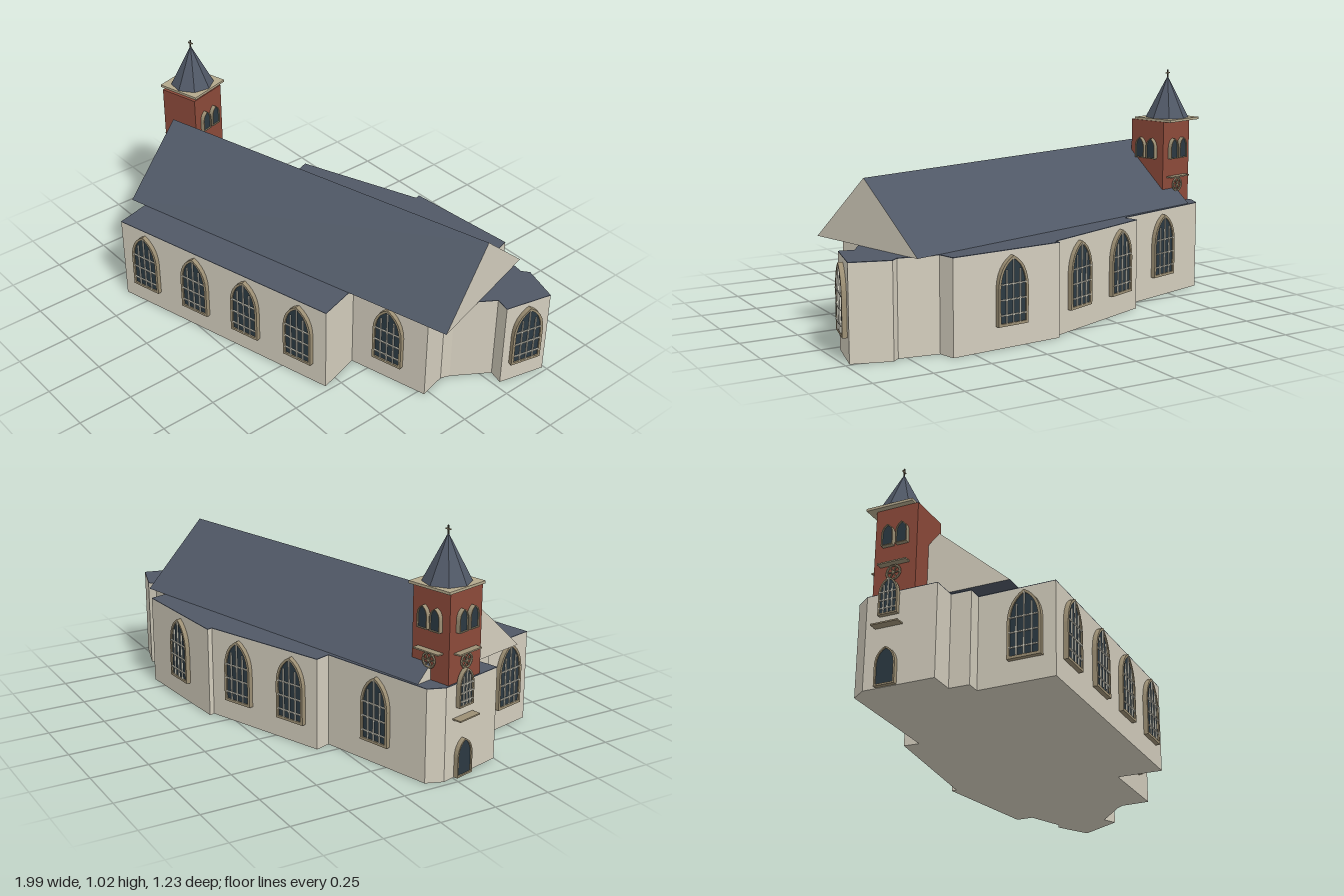
import * as THREE from 'three';

const mat = (color, side = THREE.FrontSide) =>
  new THREE.MeshStandardMaterial({ color, flatShading: true, side });
const STONE = mat(0xd3cdbd), SLATE = mat(0x505866), BRICK = mat(0x8c4a3a);
const TRIM = mat(0x9c8f74), GLASS = mat(0x2b3942), BAR = mat(0xd8d6c8), IRON = mat(0x4a4538);
const SLAB = mat(0xb3a88c);

const TURN = 0.262; // the building stands turned about its upright axis

// wall outline as [x, z], going west, south, east, north
const PLAN = [
  [-0.948, -0.123], [-0.975, -0.05], [-0.893, 0.25], [-0.785, 0.22], [-0.76, 0.305],
  [-0.70, 0.288], [-0.617, 0.609], [0.475, 0.317], [0.42, 0.12], [0.78, 0.025],
  [0.75, -0.10], [0.765, -0.14], [0.865, -0.295], [0.93, -0.28], [0.98, -0.49],
  [0.815, -0.54], [0.785, -0.515], [0.615, -0.54], [0.595, -0.615], [0.083, -0.571],
  [0.09, -0.548], [-0.462, -0.336], [-0.44, -0.27],
];

function add(parent, name, geometry, material, x = 0, y = 0, z = 0) {
  const mesh = new THREE.Mesh(geometry, material);
  mesh.name = name;
  mesh.position.set(x, y, z);
  parent.add(mesh);
  return mesh;
}

const box = (w, h, d) => new THREE.BoxGeometry(w, h, d);

function slabFromPlan(height) {
  const shape = new THREE.Shape(PLAN.map(([x, z]) => new THREE.Vector2(x, -z)));
  return new THREE.ExtrudeGeometry(shape, { depth: height, bevelEnabled: false }).rotateX(-Math.PI / 2);
}

// pointed arch standing on y = base
function arch(w, h, base = 0) {
  const s = new THREE.Shape(), spring = base + (h - base) * 0.55;
  s.moveTo(-w / 2, base);
  s.lineTo(w / 2, base);
  s.lineTo(w / 2, spring);
  s.quadraticCurveTo(w * 0.47, spring + (h - spring) * 0.72, 0, h);
  s.quadraticCurveTo(-w * 0.47, spring + (h - spring) * 0.72, -w / 2, spring);
  s.closePath();
  return s;
}

const extrude = (shape, depth) =>
  new THREE.ExtrudeGeometry(shape, { depth, bevelEnabled: false, curveSegments: 6 });

// arched window facing +z, sill at y = 0
function makeWindow(name, w, h, bars = true) {
  const g = new THREE.Group(), rim = w * 0.08;
  g.name = name;
  const frame = arch(w, h);
  frame.holes.push(arch(w - 2 * rim, h - rim, rim));
  add(g, 'windowFrame', extrude(frame, 0.02), TRIM);
  add(g, 'windowGlass', extrude(arch(w - 2 * rim, h - rim, rim), 0.014), GLASS);
  if (!bars) return g;
  for (const k of [-1, 0, 1]) {
    const len = h * (k === 0 ? 0.92 : 0.76);
    add(g, 'mullion', box(0.005, len, 0.006), BAR, k * w * 0.22, rim + len / 2, 0.019);
    add(g, 'crossBar', box(w * 0.86, 0.005, 0.006), BAR, 0, h * (0.38 + k * 0.22), 0.02);
  }
  return g;
}

// puts an object on wall number i, at fraction t of its length
function onWall(parent, object, i, t, y) {
  const [ax, az] = PLAN[i], [bx, bz] = PLAN[(i + 1) % PLAN.length];
  object.position.set(ax + (bx - ax) * t, y, az + (bz - az) * t);
  object.rotation.y = Math.atan2(az - bz, bx - ax);
  parent.add(object);
}

// gable roof: two slopes, two stone gables and the underside
function makeRoof() {
  const g = new THREE.Group();
  g.name = 'mainRoof';
  const y0 = 0.402, y1 = 0.68;
  const sw = [-0.73, y0, 0.475], se = [0.89, y0, 0.03], ne = [0.725, y0, -0.572], nw = [-0.895, y0, -0.13];
  const rw = [-0.81, y1, 0.17], re = [0.81, y1, -0.267];
  const faces = (name, tris, material) => {
    const geo = new THREE.BufferGeometry();
    geo.setAttribute('position', new THREE.Float32BufferAttribute(tris.flat(), 3));
    geo.computeVertexNormals();
    add(g, name, geo, material);
  };
  faces('roofSlopes', [sw, se, re, sw, re, rw, ne, nw, rw, ne, rw, re], SLATE);
  faces('gables', [se, ne, re, nw, sw, rw], STONE);
  faces('roofUnderside', [sw, ne, se, sw, nw, ne], SLATE);
  return g;
}

function makeTower() {
  const g = new THREE.Group(), half = 0.095;
  g.name = 'tower';
  g.position.set(-0.847, 0, 0.033);
  g.rotation.y = TURN;
  add(g, 'towerShaft', box(half * 2, 0.785, half * 2), BRICK, 0, 0.3925, 0);

  // paired belfry openings on the east, north and west sides
  for (const angle of [Math.PI / 2, Math.PI, -Math.PI / 2]) {
    const side = new THREE.Group();
    side.name = 'belfrySide';
    side.rotation.y = angle;
    for (const s of [-1, 1]) {
      const opening = makeWindow('belfryOpening', 0.052, 0.095, false);
      opening.position.set(s * 0.032, 0.61, half);
      side.add(opening);
    }
    // round ornament and ledge below the openings
    if (angle !== Math.PI / 2) {
      add(side, 'roundOrnament', new THREE.TorusGeometry(0.03, 0.005, 6, 20), TRIM, 0, 0.485, half + 0.01);
      for (let k = 0; k < 3; k++) {
        add(side, 'ornamentSpoke', box(0.06, 0.004, 0.006), TRIM, 0, 0.485, half + 0.01).rotation.z = k * Math.PI / 3;
      }
      add(side, 'towerLedge', box(0.13, 0.006, 0.03), TRIM, 0, 0.525, half + 0.015);
    }
    g.add(side);
  }
  return g;
}

function makeSpire() {
  const g = new THREE.Group();
  g.name = 'spire';
  g.position.set(-0.868, 0, 0.013);
  g.rotation.y = TURN;
  add(g, 'eavesSlab', box(0.21, 0.011, 0.21), SLAB, 0, 0.79, 0);
  add(g, 'spireCone', new THREE.ConeGeometry(0.1, 0.193, 8), SLATE, 0, 0.8915, 0);
  add(g, 'finialPost', box(0.005, 0.04, 0.005), IRON, 0, 0.997, 0);
  add(g, 'finialArm', box(0.026, 0.005, 0.005), TRIM, 0, 1.002, 0);
  return g;
}

export function createModel() {
  const model = new THREE.Group();
  model.name = 'church';

  // walls with a flat slate covering
  add(model, 'walls', slabFromPlan(0.398), STONE);
  add(model, 'flatRoof', slabFromPlan(0.003), SLATE, 0, 0.398, 0);
  model.add(makeRoof(), makeTower(), makeSpire());

  // tall windows: [wall number, positions along it]
  const windows = [
    [5, [0.62]], [6, [0.125, 0.377, 0.625, 0.877]], [8, [0.5]], [13, [0.5]],
    [18, [0.53]], [20, [0.27, 0.77]], [22, [0.51]],
  ];
  for (const [i, spots] of windows) {
    for (const t of spots) onWall(model, makeWindow('tallWindow', 0.145, 0.285), i, t, 0.095);
  }

  // west entrance: door, ledge and window above
  onWall(model, makeWindow('door', 0.09, 0.16, false), 1, 0.33, 0.002);
  onWall(model, makeWindow('entranceWindow', 0.085, 0.16), 1, 0.33, 0.3);
  const ledge = new THREE.Group();
  ledge.name = 'entranceLedge';
  add(ledge, 'ledge', box(0.12, 0.006, 0.04), TRIM, 0, 0, 0.02);
  onWall(model, ledge, 1, 0.33, 0.255);

  return model;
}
